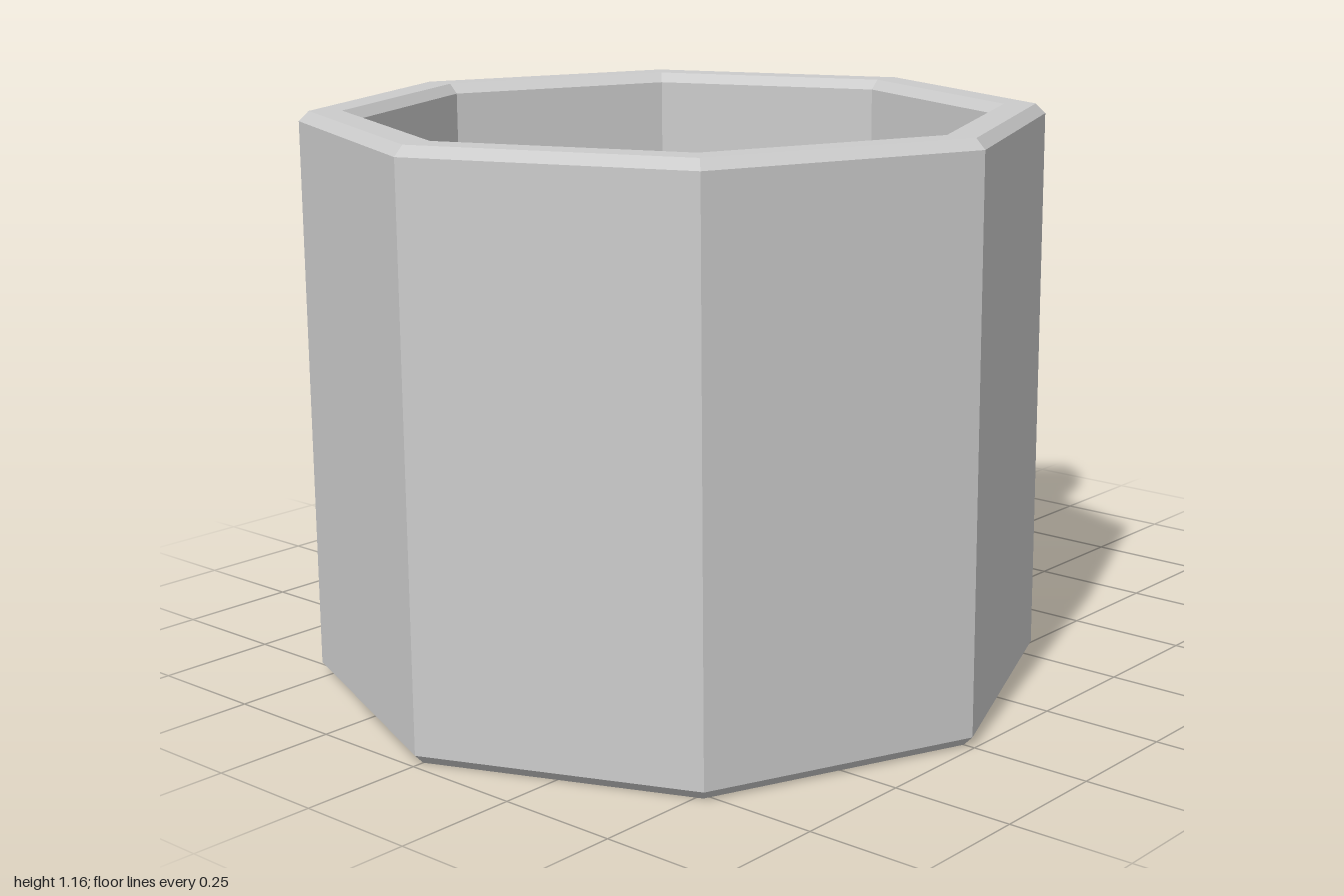
import * as THREE from 'three';

const CENTER_Z = 0.25;
const material = () => new THREE.MeshStandardMaterial({ color: 0xcccccc, flatShading: true });

function addPart(group, name, geometry) {
  const mesh = new THREE.Mesh(geometry, material());
  mesh.name = name;
  group.add(mesh);
  return mesh;
}

// Octagonal cup with bevelled foot and rim, hollow inside
function cupGeometry() {
  const profile = [
    [0, 0], [0.725, 0], [0.745, 0.02], [0.745, 1.145], [0.725, 1.165],
    [0.66, 1.165], [0.64, 1.145], [0.64, 0.1], [0, 0.1],
  ].map(([r, y]) => new THREE.Vector2(r, y));
  return new THREE.LatheGeometry(profile, 8);
}

// Faceted rippled liquid: a grid drawn in to the octagonal inner wall
function liquidGeometry() {
  const geometry = new THREE.PlaneGeometry(1.39, 1.39, 8, 8).rotateX(-Math.PI / 2);
  const p = geometry.attributes.position;
  const apothem = 0.648 * Math.cos(Math.PI / 8);
  let seed = 7;
  const random = () => (seed = (seed * 16807) % 2147483647) / 2147483647;
  for (let i = 0; i < p.count; i++) {
    const x = p.getX(i), z = p.getZ(i);
    let reach = 0;
    for (let k = 0; k < 8; k++) {
      const a = (k + 0.5) * Math.PI / 4;
      reach = Math.max(reach, x * Math.cos(a) + z * Math.sin(a));
    }
    const s = Math.min(1, apothem / Math.max(reach, 1e-6));
    const y = 0.02 * Math.sin(9 * (x + z)) + 0.04 * (random() - 0.5);
    p.setXYZ(i, x * s, y, z * s);
  }
  geometry.computeVertexNormals();
  return geometry;
}

// Hexagonal bar swept through mitred stations: z, y, tilt of the outward direction
function handleGeometry() {
  const upper = [[-0.42, 0.93, 90], [-0.55, 0.93, 88], [-0.735, 0.885, 65], [-0.865, 0.75, 30]];
  const midY = 0.565;
  const lower = upper.map(([z, y, a]) => [z, 2 * midY - y, -a]).reverse();
  const stations = [...upper, [-0.907, midY, 0], ...lower];
  const sides = 6, positions = [], index = [];
  stations.forEach(([z, y, degrees], i) => {
    const tilt = THREE.MathUtils.degToRad(degrees);
    for (let j = 0; j < sides; j++) {
      const a = j / sides * Math.PI * 2;
      const out = 0.09 * Math.cos(a);
      positions.push(0.09 * Math.sin(a), y + out * Math.sin(tilt), z - out * Math.cos(tilt));
      if (i < stations.length - 1) {
        const k = i * sides, n = (j + 1) % sides;
        index.push(k + j, k + n, k + sides + j, k + n, k + sides + n, k + sides + j);
      }
    }
  });
  // End caps, buried in the cup wall
  const last = (stations.length - 1) * sides;
  for (let j = 1; j < sides - 1; j++) {
    index.push(0, j + 1, j, last, last + j, last + j + 1);
  }
  const geometry = new THREE.BufferGeometry();
  geometry.setAttribute('position', new THREE.Float32BufferAttribute(positions, 3));
  geometry.setIndex(index);
  const flat = geometry.toNonIndexed();
  flat.computeVertexNormals();
  return flat;
}

export function createModel() {
  const mug = new THREE.Group();
  mug.name = 'mug';
  addPart(mug, 'cup', cupGeometry()).position.z = CENTER_Z;
  addPart(mug, 'liquid', liquidGeometry()).position.set(0, 0.84, CENTER_Z);
  addPart(mug, 'handle', handleGeometry());
  return mug;
}
